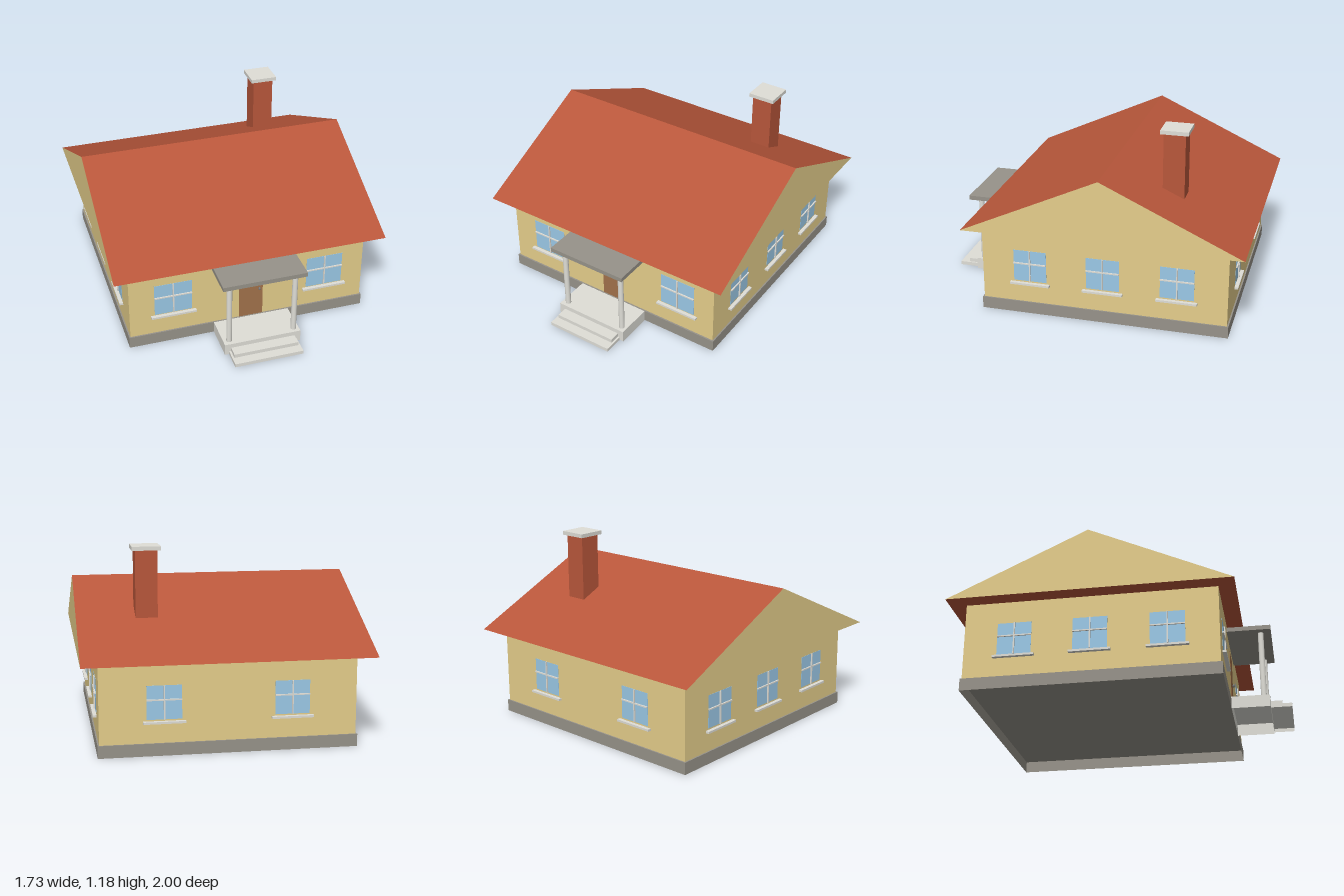
import * as THREE from 'three';

const mat = (name, color) => {
  const m = new THREE.MeshStandardMaterial({ color, side: THREE.DoubleSide });
  m.name = name;
  return m;
};

export function createModel() {
  const house = new THREE.Group();
  house.name = 'house';

  const wall = mat('sand plaster', 0xe5ce8b);
  const roofRed = mat('brick red', 0xb9573b);
  const stone = mat('grey stone', 0x97938a);
  const pale = mat('pale concrete', 0xdfded7);
  const glass = mat('blue glass', 0x9ccae8);
  const wood = mat('brown wood', 0xa2724b);
  const metal = mat('handle metal', 0x7b7c80);

  const add = (parent, name, geometry, material) => {
    const mesh = new THREE.Mesh(geometry, material);
    mesh.name = name;
    parent.add(mesh);
    return mesh;
  };
  // Box given by its lower and upper limits on each axis
  const box = (parent, name, material, [x0, x1], [y0, y1], [z0, z1]) => {
    const g = new THREE.BoxGeometry(x1 - x0, y1 - y0, z1 - z0);
    g.translate((x0 + x1) / 2, (y0 + y1) / 2, (z0 + z1) / 2);
    return add(parent, name, g, material);
  };
  // The same box without its underside, as a hollow shell
  const shell = (...args) => {
    const { geometry } = box(...args);
    const index = [...geometry.index.array];
    index.splice(18, 6);
    geometry.setIndex(index);
    geometry.clearGroups();
  };

  // Main body
  shell(house, 'foundation', stone, [-0.771, 0.771], [0, 0.075], [-0.907, 0.635]);
  shell(house, 'walls', wall, [-0.762, 0.762], [0.075, 0.56], [-0.898, 0.625]);

  // Gabled roof: plastered ends, red slopes and soffit
  const gable = new THREE.Shape();
  gable.moveTo(-0.726, 0.557);
  gable.lineTo(1, 0.557);
  gable.lineTo(0.137, 0.955);
  gable.closePath();
  const roof = new THREE.ExtrudeGeometry(gable, { depth: 1.728, bevelEnabled: false });
  roof.translate(0, 0, -0.864);
  roof.rotateY(Math.PI / 2);
  add(house, 'roof', roof, [wall, roofRed]);

  // Chimney
  box(house, 'chimney', roofRed, [0.378, 0.511], [0.7, 1.157], [-0.575, -0.442]);
  box(house, 'chimneyCap', pale, [0.359, 0.531], [1.157, 1.181], [-0.595, -0.424]);

  // Window facing +z in its own frame, with glazing bars and a sill
  const addWindow = (name, x, z, turn, w, y0, y1, sillWidth) => {
    const g = new THREE.Group();
    g.name = name;
    const h = w / 2, s = sillWidth / 2, mid = y0 + (y1 - y0) * 0.58;
    box(g, 'glass', glass, [-h, h], [y0, y1], [-0.002, 0.0015]);
    box(g, 'uprightBar', pale, [-0.004, 0.004], [y0, y1], [0, 0.01]);
    box(g, 'crossBar', pale, [-h, h], [mid - 0.004, mid + 0.004], [0, 0.01]);
    box(g, 'sill', pale, [-s, s], [0.194, 0.207], [-0.005, 0.023]);
    g.position.set(x, 0, z);
    g.rotation.y = turn;
    house.add(g);
  };
  for (const x of [-0.484, 0.504]) addWindow('frontWindow', x, 0.625, 0, 0.238, 0.212, 0.427, 0.287);
  for (const x of [-0.375, 0.383]) addWindow('backWindow', x, -0.898, Math.PI, 0.207, 0.216, 0.418, 0.25);
  for (const side of [-1, 1])
    for (const z of [0.322, -0.136, -0.592])
      addWindow('sideWindow', side * 0.762, z, side * Math.PI / 2, 0.207, 0.216, 0.418, 0.25);

  // Door and handle
  box(house, 'door', wood, [-0.06, 0.095], [0.075, 0.456], [0.622, 0.627]);
  const handle = add(house, 'doorHandle', new THREE.SphereGeometry(0.007, 16, 10), metal);
  handle.scale.y = 1.6;
  handle.position.set(0.072, 0.271, 0.634);

  // Hollow porch slab and steps
  shell(house, 'porchSlab', pale, [-0.228, 0.264], [0, 0.075], [0.636, 0.871]);
  shell(house, 'lowerStep', pale, [-0.202, 0.238], [0, 0.023], [0.872, 1]);
  shell(house, 'upperStep', pale, [-0.189, 0.225], [0.023, 0.047], [0.872, 0.941]);

  // Porch canopy on two round posts
  box(house, 'canopy', stone, [-0.248, 0.283], [0.504, 0.532], [0.62, 0.897]);
  for (const x of [-0.19, 0.229]) {
    const post = add(house, 'porchPost', new THREE.CylinderGeometry(0.0175, 0.0175, 0.43, 24), pale);
    post.position.set(x, 0.29, 0.833);
  }

  return house;
}
